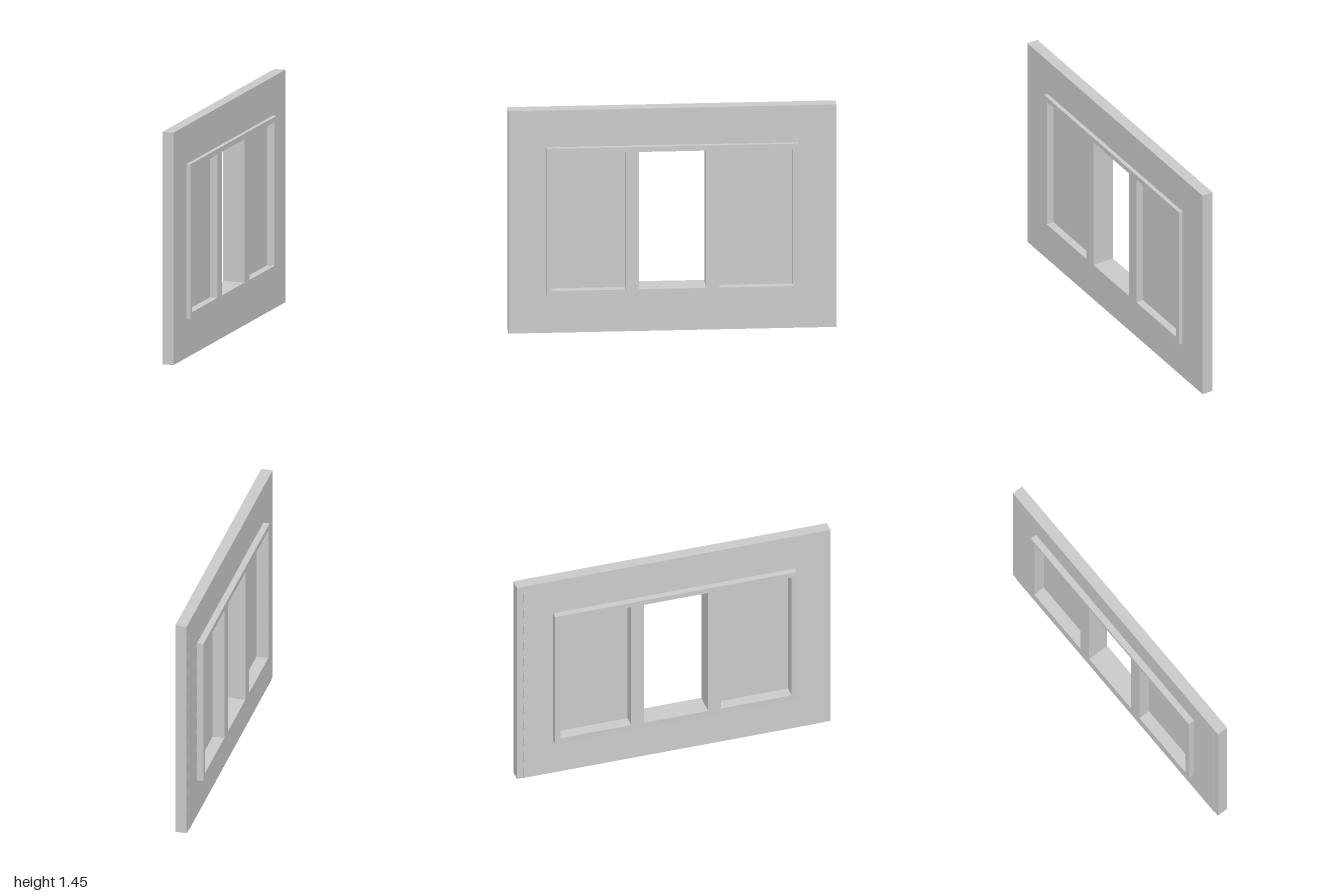
import * as THREE from 'three';

const grey = new THREE.MeshStandardMaterial({ color: 0xcccccc, flatShading: true });

// Rectangle outline in (z, y)
function rect(target, z0, z1, y0, y1) {
  target.moveTo(z0, y0);
  target.lineTo(z1, y0);
  target.lineTo(z1, y1);
  target.lineTo(z0, y1);
  target.closePath();
  return target;
}

// Upright slab facing x, with rectangular openings [z0, z1, y0, y1]
function slab(name, outer, openings, x0, x1) {
  const shape = rect(new THREE.Shape(), ...outer);
  for (const o of openings) shape.holes.push(rect(new THREE.Path(), ...o));
  const geo = new THREE.ExtrudeGeometry(shape, { depth: x1 - x0, bevelEnabled: false });
  // shape x becomes -z, extrusion runs along +x
  geo.rotateY(Math.PI / 2);
  geo.translate(x0, 0, 0);
  const mesh = new THREE.Mesh(geo, grey);
  mesh.name = name;
  return mesh;
}

export function createModel() {
  const model = new THREE.Group();
  model.name = 'windowWall';

  const height = 1.445;
  const sill = 0.28, head = 1.172;
  const sidePanes = [[-0.738, -0.288, sill, head], [0.285, 0.735, sill, head]];
  const centre = [-0.206, 0.202, sill, head];

  // Wall panel, cut out behind the window frame
  model.add(slab('wall', [-1, 1, 0, height], [[-0.75, 0.75, 0.26, 1.19]], -0.027, 0.045));

  // Window frame with two glazed openings and an open centre
  model.add(slab('windowFrame', [-0.77, 0.77, 0.244, 1.205], [...sidePanes, centre], -0.07, 0.07));

  // Window panes
  sidePanes.forEach(([z0, z1, y0, y1], i) => {
    const name = i ? 'rearPane' : 'frontPane';
    model.add(slab(name, [z0 - 0.01, z1 + 0.01, y0 - 0.01, y1 + 0.01], [], 0.004, 0.022));
  });

  // Shallow sloping siding boards on the outer face
  const siding = new THREE.Group();
  siding.name = 'siding';
  const rows = 12, pitch = height / rows;
  const profile = new THREE.Shape();
  profile.moveTo(0.003, 0);
  profile.lineTo(0.003, pitch);
  profile.lineTo(0, pitch);
  profile.lineTo(-0.003, 0);
  profile.closePath();
  for (let i = 0; i < rows; i++) {
    const y = i * pitch;
    const besideWindow = y + pitch > 0.26 && y < 1.19;
    const spans = besideWindow ? [[-0.96, -0.76], [0.76, 0.96]] : [[-0.96, 0.96]];
    for (const [z0, z1] of spans) {
      const geo = new THREE.ExtrudeGeometry(profile, { depth: z1 - z0, bevelEnabled: false });
      const board = new THREE.Mesh(geo, grey);
      board.name = 'sidingBoard';
      board.position.set(-0.027, y, z0);
      siding.add(board);
    }
  }
  model.add(siding);
  return model;
}
